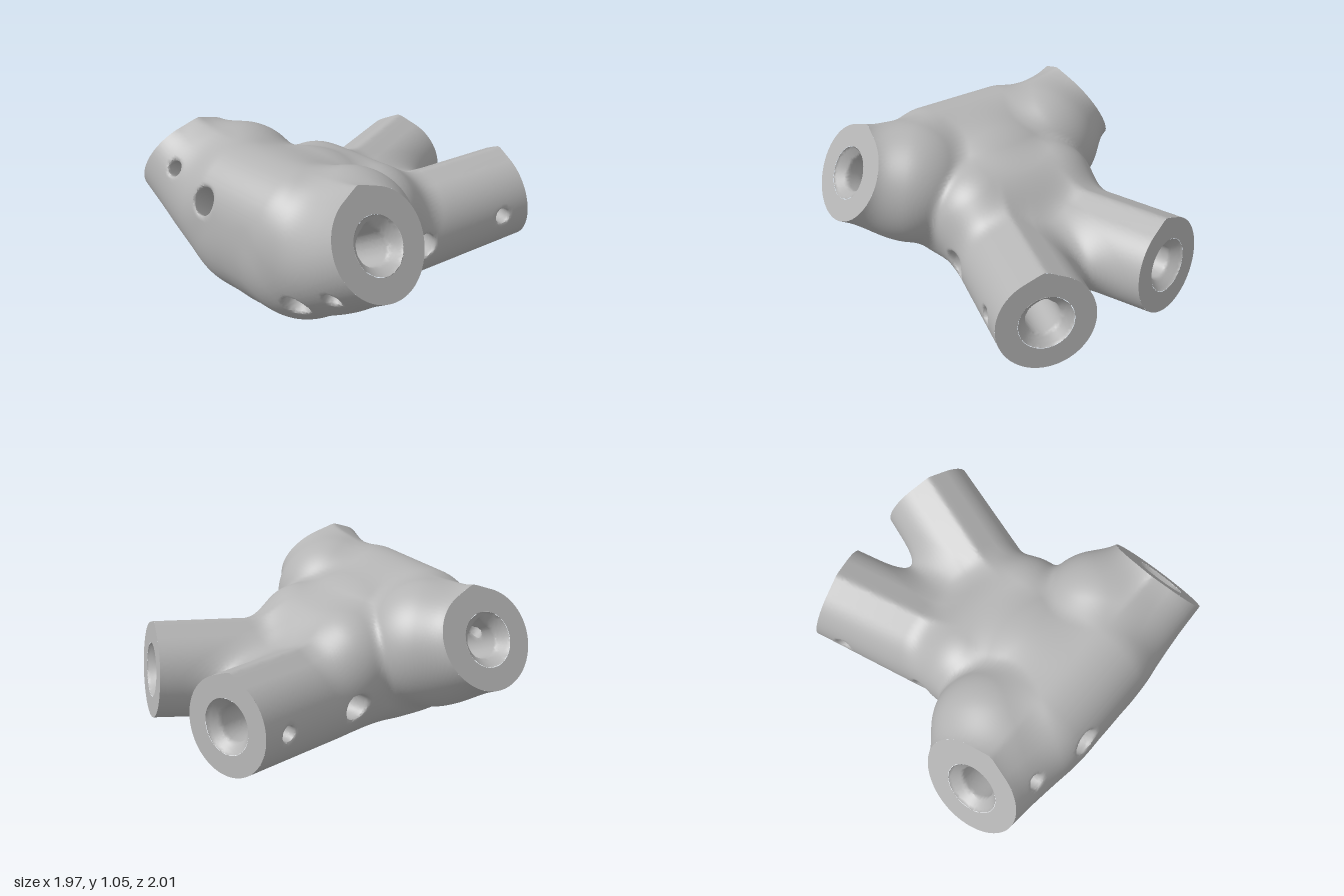
import * as THREE from 'three';
import { toCreasedNormals } from 'three/addons/utils/BufferGeometryUtils.js';

const V = (x, y, z) => new THREE.Vector3(x, y, z);
const ROOF = 0.43, BORE_ROOF = Math.PI / 4, MOUTH = 0.165, BORE = 0.104;

// A tubular socket: centre of its open face, outward axis, radius, length,
// bore depth, fillet and the screw holes [distance from face, radius, angle]
function socket(name, centre, axis, r, length, depth, fillet, screws) {
  const n = axis.normalize();
  const v = V(0, 1, 0).addScaledVector(n, -n.y).normalize();
  const u = v.clone().cross(n);
  const holes = screws.map(([s, radius, angle]) => ({
    s, radius, cu: Math.cos(angle), cv: Math.sin(angle),
  }));
  return { name, centre, n, u, v, r, length, depth, fillet, holes };
}

const sockets = [];
// Front pair, screw holes on the outer flank
for (const k of [1, -1]) {
  const flank = k > 0 ? Math.PI : 0;
  sockets.push(socket(k > 0 ? 'frontLeftFace' : 'frontRightFace',
    V(k > 0 ? 0.9 : 0.87, 0.465, 0.44 * k), V(1, 0.12, 0.286 * k),
    0.293, 1.16, 0.9, 0.24, [[0.188, 0.048, flank], [0.77, 0.082, flank]]));
}
// Side pair, screw holes on the rear, tilted opposite ways
for (const k of [1, -1]) {
  sockets.push(socket(k > 0 ? 'sideLeftFace' : 'sideRightFace',
    V(-0.64, 0.765, 0.861 * k), V(0, 0.479, 0.878 * k),
    0.303, 0.87, 0.8, 0.12, k > 0
      ? [[0.22, 0.047, Math.PI + 0.68], [0.54, 0.078, Math.PI + 0.66]]
      : [[0.2, 0.047, 0.6], [0.56, 0.078, 0.75]]));
}

// Distance to a circle whose top is drawn out to a slightly softened point
function teardrop(a, b, r, roof) {
  return Math.atan2(Math.abs(a), b) < roof
    ? Math.hypot(a, 0.012) * Math.sin(roof) + b * Math.cos(roof) - r
    : Math.hypot(a, b) - r;
}

function blend(a, b, k) {
  const h = Math.max(k - Math.abs(a - b), 0) / k;
  return Math.min(a, b) - h * h * k * 0.25;
}

function ellipsoid(x, y, z, a, b, c) {
  const k0 = Math.hypot(x / a, y / b, z / c);
  const k1 = Math.hypot(x / (a * a), y / (b * b), z / (c * c));
  return k1 < 1e-6 ? -Math.min(a, b, c) : k0 * (k0 - 1) / k1;
}

// Position in a socket's own frame: across, up, depth below the face
function local(o, x, y, z) {
  const c = o.centre, dx = x - c.x, dy = y - c.y, dz = z - c.z;
  return [dx * o.u.x + dy * o.u.y + dz * o.u.z,
    dx * o.v.x + dy * o.v.y + dz * o.v.z,
    -(dx * o.n.x + dy * o.n.y + dz * o.n.z)];
}

// Signed distance of the whole casting
function field(x, y, z) {
  const az = Math.abs(z);
  // Belly, rear crossbar, shoulders and front hump
  let d = ellipsoid(x + 0.42, y - 0.485, z, 0.55, 0.48, 0.6);
  d = blend(d, Math.hypot(x + 0.63, y - 0.665, Math.max(az - 0.26, 0)) - 0.347, 0.08);
  d = blend(d, Math.hypot(x + 0.5, y - 0.645, az - 0.48) - 0.385, 0.06);
  d = blend(d, Math.hypot(x + 0.1, y - 0.55, Math.max(az - 0.24, 0)) - 0.315, 0.05);
  let cut = 1e3, arms = 1e3;
  for (const o of sockets) {
    const [a, b, s] = local(o, x, y, z);
    // Slightly flared tube with a rounded inner end
    const flare = 0.02 * Math.min(Math.max(s, 0), 0.8);
    const tube = -blend(-teardrop(a, b, o.r + flare, ROOF), o.length - s, 0.25);
    arms = blend(arms, Math.max(tube, -0.07 - s), o.fillet);
    // Countersunk mouth and pointed bore
    const mouth = MOUTH - Math.max(s, 0);
    cut = Math.min(cut,
      Math.max((Math.hypot(a, b) - mouth) * 0.7, s - 0.1),
      Math.max(teardrop(a, b, BORE, BORE_ROOF), s - o.depth));
    for (const h of o.holes) {
      const along = a * h.cu + b * h.cv, side = b * h.cu - a * h.cv;
      cut = Math.min(cut, Math.max(Math.hypot(s - h.s, side) - h.radius, -along, along - 0.5));
    }
  }
  return -blend(-blend(d, arms, 0.13), cut, 0.02);
}

// Slide a point onto the surface
function settle(p, limit) {
  const e = 0.004;
  for (let i = 0; i < 4; i++) {
    const f = field(p[0], p[1], p[2]);
    const g = [0, 1, 2].map((k) => {
      const q = [...p], w = [...p];
      q[k] += e; w[k] -= e;
      return (field(...q) - field(...w)) / (2 * e);
    });
    const l = g[0] * g[0] + g[1] * g[1] + g[2] * g[2];
    if (l < 0.3) break;
    const t = Math.max(-limit, Math.min(limit, f / l)) * 0.6;
    for (let k = 0; k < 3; k++) p[k] -= g[k] * t;
  }
  return p;
}

// Trim a polygon at every socket face
function trim(poly) {
  for (const o of sockets) {
    const out = [];
    const h = poly.map((p) => local(o, ...p)[2]);
    poly.forEach((p, i) => {
      const j = (i + 1) % poly.length, q = poly[j];
      if (h[i] >= 0) out.push(p);
      if ((h[i] >= 0) !== (h[j] >= 0)) {
        const t = h[i] / (h[i] - h[j]);
        out.push(p.map((c, k) => c + (q[k] - c) * t));
      }
    });
    poly = out;
    if (poly.length < 3) return [];
  }
  return poly;
}

// Skin the field with one vertex per crossed grid cell
function skinGeometry() {
  const h = 0.016, o = [-1.05, -0.06, -1.1], N = [135, 77, 139];
  const stride = [1, N[0], N[0] * N[1]];
  const val = new Float32Array(N[0] * N[1] * N[2]);
  const each = (fn) => {
    for (let k = 0; k < N[2]; k++) for (let j = 0; j < N[1]; j++) for (let i = 0; i < N[0]; i++) {
      fn([i, j, k], i + j * stride[1] + k * stride[2]);
    }
  };
  each((c, id) => { val[id] = field(o[0] + c[0] * h, o[1] + c[1] * h, o[2] + c[2] * h); });

  const verts = new Map();
  each((c, id) => {
    if (Math.abs(val[id]) > h * 4 || c.some((m, a) => m >= N[a] - 1)) return;
    const sum = [0, 0, 0];
    let count = 0;
    for (let m = 0; m < 8; m++) for (let a = 0; a < 3; a++) {
      if (m & (1 << a)) continue;
      const bits = [m & 1, (m >> 1) & 1, (m >> 2) & 1];
      const from = id + bits[0] + bits[1] * stride[1] + bits[2] * stride[2];
      const f0 = val[from], f1 = val[from + stride[a]];
      if ((f0 < 0) === (f1 < 0)) continue;
      bits[a] = f0 / (f0 - f1);
      bits.forEach((b, k) => { sum[k] += b; });
      count++;
    }
    if (count) verts.set(id, settle(sum.map((s, k) => o[k] + (c[k] + s / count) * h), h * 0.3));
  });

  const pos = [];
  each((c, id) => {
    for (let a = 0; a < 3; a++) {
      const b = (a + 1) % 3, d = (a + 2) % 3;
      if (c[a] >= N[a] - 1 || !c[b] || !c[d]) continue;
      const inside = val[id] < 0;
      if (inside === (val[id + stride[a]] < 0)) continue;
      const quad = [id - stride[b] - stride[d], id - stride[d], id, id - stride[b]].map((q) => verts.get(q));
      if (quad.some((q) => !q)) continue;
      if (!inside) quad.reverse();
      for (const tri of [[quad[0], quad[1], quad[2]], [quad[0], quad[2], quad[3]]]) {
        const poly = trim(tri);
        for (let i = 2; i < poly.length; i++) pos.push(...poly[0], ...poly[i - 1], ...poly[i]);
      }
    }
  });
  const geo = new THREE.BufferGeometry();
  geo.setAttribute('position', new THREE.Float32BufferAttribute(pos, 3));
  return toCreasedNormals(geo, 0.8);
}

// Flat ring closing the end of a socket, its rim following the skin
function faceGeometry(o) {
  const rim = [];
  for (let i = 0; i < 96; i++) {
    const t = (i / 96) * Math.PI * 2, c = Math.cos(t), s = Math.sin(t);
    let lo = 0.22, hi = 0.45;
    for (let m = 0; m < 18; m++) {
      const r = (lo + hi) / 2;
      const p = o.centre.clone().addScaledVector(o.u, c * r).addScaledVector(o.v, s * r);
      if (field(p.x, p.y, p.z) < 0) lo = r; else hi = r;
    }
    rim.push(new THREE.Vector2(c * lo, s * lo));
  }
  const shape = new THREE.Shape(rim);
  shape.holes.push(new THREE.Path().absarc(0, 0, MOUTH, 0, Math.PI * 2, true));
  const frame = new THREE.Matrix4().makeBasis(o.u, o.v, o.n).setPosition(o.centre);
  return new THREE.ShapeGeometry(shape, 32).applyMatrix4(frame);
}

export function createModel() {
  const grey = new THREE.MeshStandardMaterial({ color: 0xb4b4b4 });
  grey.name = 'plain grey';
  const group = new THREE.Group();
  group.name = 'tubeJoint';
  const add = (name, geo) => {
    const mesh = new THREE.Mesh(geo, grey);
    mesh.name = name;
    group.add(mesh);
  };
  add('jointBody', skinGeometry());
  for (const o of sockets) add(o.name, faceGeometry(o));
  return group;
}
